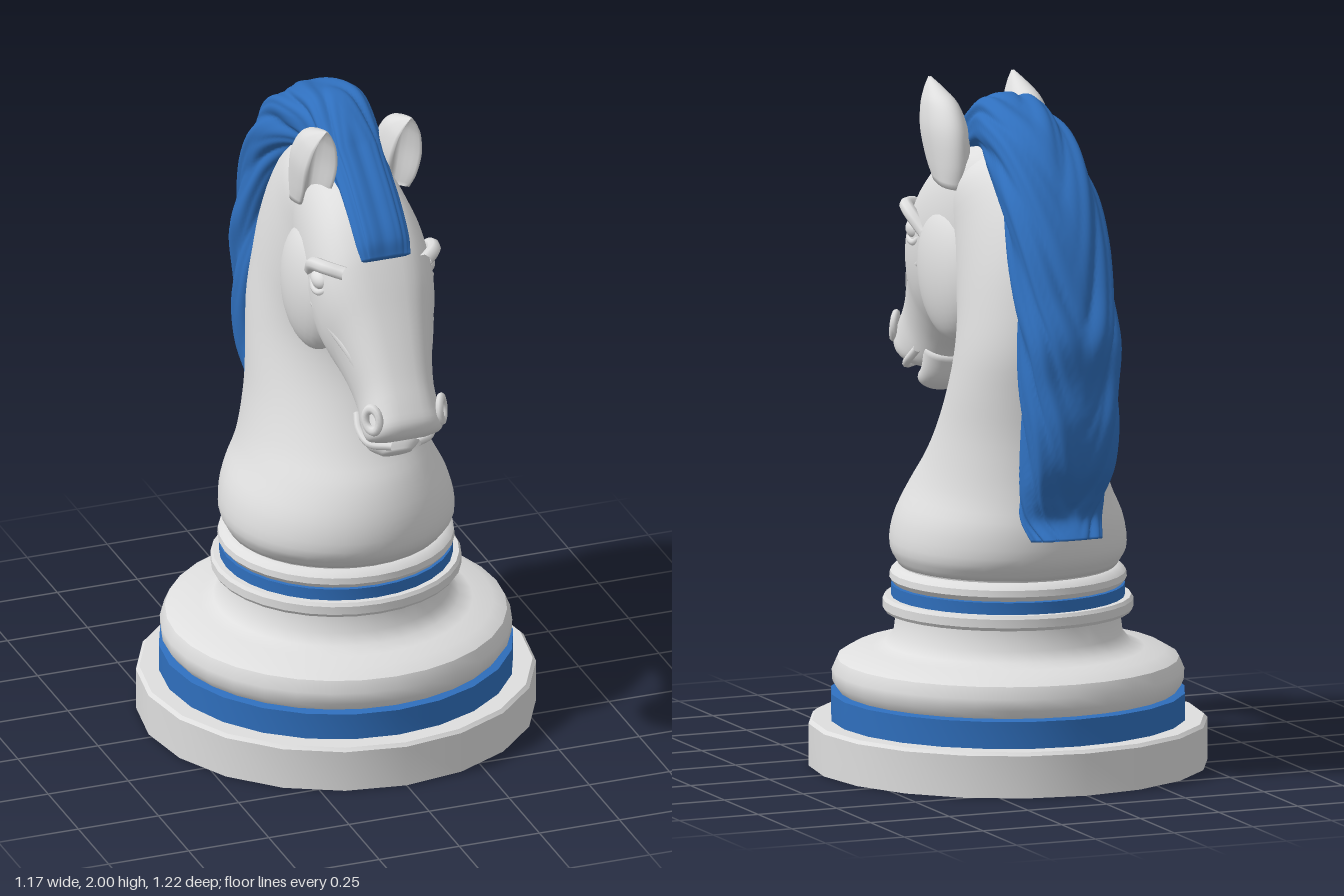
import * as THREE from 'three';
import { toCreasedNormals } from 'three/addons/utils/BufferGeometryUtils.js';

const ivory = new THREE.MeshStandardMaterial({ color: 0xdedede });
ivory.name = 'ivory white';
const blue = new THREE.MeshStandardMaterial({ color: 0x2f6fbd });
blue.name = 'royal blue';

const V = (x, y, z) => new THREE.Vector3(x, y, z);
const spow = (v, e) => Math.sign(v) * Math.abs(v) ** e;

// Skin over cross-sections. Row: [zA, yA, zB, yB, halfWidth], A and B being opposite edges.
// shape(angle, s) returns the section's [towards A, sideways] coordinates.
function loft(rows, { steps = 40, seg = 32, xc = 0, shape = (a) => [Math.cos(a), Math.sin(a)] } = {}) {
  const curve = (f) => new THREE.CatmullRomCurve3(rows.map(f));
  const A = curve((r) => V(0, r[1], r[0]));
  const B = curve((r) => V(0, r[3], r[2]));
  const W = curve((r, i) => V(r[4], i, 0));
  const pos = [], idx = [];
  for (let i = 0; i <= steps; i++) {
    const s = i / steps, a = A.getPoint(s), b = B.getPoint(s), w = W.getPoint(s).x;
    const mid = a.clone().add(b).multiplyScalar(0.5), h = a.clone().sub(b).multiplyScalar(0.5);
    for (let j = 0; j < seg; j++) {
      const [c, d] = shape((j / seg) * Math.PI * 2, s);
      pos.push(xc + w * d, mid.y + h.y * c, mid.z + h.z * c);
      if (i < steps) {
        const k = (j + 1) % seg, p = i * seg + j, q = i * seg + k;
        idx.push(p, q, q + seg, p, q + seg, p + seg);
      }
    }
  }
  // end caps
  const last = steps * seg, n = (steps + 1) * seg;
  for (const s of [0, 1]) {
    const m = A.getPoint(s).add(B.getPoint(s)).multiplyScalar(0.5);
    pos.push(xc, m.y, m.z);
  }
  for (let j = 0; j < seg; j++) {
    const k = (j + 1) % seg;
    idx.push(n, k, j, n + 1, last + j, last + k);
  }
  const g = new THREE.BufferGeometry();
  g.setAttribute('position', new THREE.Float32BufferAttribute(pos, 3));
  g.setIndex(idx);
  g.computeVertexNormals();
  return g;
}

export function createModel() {
  const model = new THREE.Group();
  const add = (name, geo, mat = ivory) => {
    const m = new THREE.Mesh(geo, mat);
    m.name = name;
    model.add(m);
    return m;
  };
  const turned = (name, profile, mat, sides = 32) => {
    const g = new THREE.LatheGeometry(profile.map(([r, y]) => new THREE.Vector2(r, y)), sides);
    add(name, toCreasedNormals(g, 0.6), mat).position.z = -0.02;
  };
  const ball = (name, x, y, z, rx, ry, rz) => {
    const m = add(name, new THREE.SphereGeometry(1, 28, 20));
    m.position.set(x, y, z);
    m.scale.set(rx, ry, rz);
    return m;
  };
  const tube = (name, pts, r) =>
    add(name, new THREE.TubeGeometry(new THREE.CatmullRomCurve3(pts.map((p) => V(...p))), 20, r, 8));

  // Turned base
  turned('plinth', [[0, 0], [0.585, 0], [0.585, 0.125], [0.575, 0.135], [0, 0.135]], ivory, 20);
  turned('lowerBand', [[0.48, 0.13], [0.52, 0.135], [0.52, 0.215], [0.48, 0.22]], blue, 24);
  turned('shoulder', [[0.47, 0.215], [0.495, 0.22], [0.513, 0.245], [0.515, 0.28], [0.5, 0.315], [0.46, 0.338],
    [0.4, 0.345], [0.36, 0.36], [0.335, 0.39], [0.327, 0.45], [0.36, 0.455], [0.367, 0.465], [0.367, 0.49],
    [0.36, 0.5], [0.3, 0.5]], ivory);
  turned('upperBand', [[0.3, 0.498], [0.342, 0.5], [0.342, 0.535], [0.3, 0.537]], blue);
  turned('collar', [[0.3, 0.535], [0.335, 0.538], [0.347, 0.553], [0.345, 0.572], [0.33, 0.587], [0.315, 0.59],
    [0.32, 0.61], [0.2, 0.61]], ivory);

  // Neck and chest
  add('neck', loft([
    [0.3, 0.595, -0.34, 0.595, 0.32], [0.348, 0.65, -0.385, 0.65, 0.343], [0.345, 0.74, -0.395, 0.74, 0.328],
    [0.3, 0.84, -0.385, 0.82, 0.285], [0.235, 0.915, -0.375, 0.9, 0.258], [0.165, 1.01, -0.37, 1.02, 0.235],
    [0.1, 1.12, -0.38, 1.15, 0.222], [0.07, 1.22, -0.395, 1.28, 0.21], [0.08, 1.3, -0.385, 1.42, 0.195],
    [0.12, 1.38, -0.35, 1.58, 0.18], [0.16, 1.48, -0.26, 1.73, 0.162], [0.18, 1.6, -0.13, 1.815, 0.145],
    [0.16, 1.7, 0, 1.83, 0.09],
  ], { seg: 40 }));

  // Head, boxy in section with a narrower jaw
  const headShape = (a) => {
    const c = Math.cos(a);
    return [spow(c, 0.8), spow(Math.sin(a), 0.75) * (1 - 0.18 * Math.max(0, c))];
  };
  add('head', loft([
    [-0.1, 1.45, -0.1, 1.79, 0.11], [-0.02, 1.36, 0, 1.835, 0.145], [0.04, 1.285, 0.14, 1.815, 0.165],
    [0.13, 1.255, 0.27, 1.755, 0.178], [0.2, 1.245, 0.36, 1.665, 0.18], [0.25, 1.225, 0.41, 1.585, 0.17],
    [0.29, 1.195, 0.46, 1.49, 0.145], [0.33, 1.165, 0.51, 1.395, 0.125], [0.365, 1.13, 0.555, 1.31, 0.113],
    [0.405, 1.1, 0.595, 1.24, 0.115], [0.45, 1.09, 0.615, 1.195, 0.118], [0.485, 1.09, 0.61, 1.16, 0.105],
    [0.52, 1.1, 0.59, 1.135, 0.06],
  ], { shape: headShape }));
  add('lowerLip', loft([
    [0.35, 1.14, 0.44, 1.19, 0.085], [0.385, 1.065, 0.45, 1.12, 0.085], [0.43, 1.032, 0.485, 1.085, 0.08],
    [0.465, 1.025, 0.5, 1.055, 0.045],
  ], { steps: 14, shape: headShape }));

  for (const side of [1, -1]) {
    const pre = side > 0 ? 'left' : 'right';
    const mir = (pts) => pts.map(([x, y, z]) => [x * side, y, z]);

    // Round cheek, eye and bony ridges
    ball(pre + 'Cheek', 0.118 * side, 1.445, 0.115, 0.085, 0.205, 0.172).rotation.x = 0.2;
    ball(pre + 'Eye', 0.162 * side, 1.545, 0.285, 0.028, 0.03, 0.042);
    tube(pre + 'Brow', mir([[0.125, 1.6, 0.385], [0.168, 1.607, 0.34], [0.182, 1.595, 0.28], [0.165, 1.545, 0.21]]), 0.021);
    tube(pre + 'LowerLid', mir([[0.15, 1.54, 0.34], [0.172, 1.512, 0.305], [0.175, 1.508, 0.265], [0.165, 1.535, 0.225]]), 0.011);
    tube(pre + 'CheekRidge', mir([[0.165, 1.45, 0.24], [0.155, 1.42, 0.33], [0.125, 1.365, 0.41], [0.1, 1.31, 0.46]]), 0.015);

    // Nostril rim and mouth corner
    const nostril = add(pre + 'Nostril', new THREE.TorusGeometry(0.026, 0.012, 8, 20));
    nostril.position.set(0.108 * side, 1.205, 0.567);
    nostril.rotation.set(-0.2, side * 1.0, 0);
    nostril.scale.y = 1.3;
    tube(pre + 'Lip', mir([[0.1, 1.16, 0.42], [0.108, 1.125, 0.46], [0.095, 1.1, 0.51], [0.04, 1.1, 0.55]]), 0.012);

    // Ear, a leaf hollowed at the front
    add(pre + 'Ear', loft([
      [0.14, 1.72, 0.02, 1.7, 0.045], [0.185, 1.78, 0.015, 1.77, 0.052], [0.22, 1.86, 0.035, 1.87, 0.056],
      [0.24, 1.93, 0.09, 1.94, 0.043], [0.25, 1.975, 0.17, 1.975, 0.022], [0.255, 2, 0.245, 2, 0.004],
    ], {
      steps: 20, xc: 0.132 * side,
      shape: (a) => {
        const c = Math.cos(a);
        return [c > 0 ? 2.5 * (c - c ** 3) : c, Math.sin(a)];
      },
    }));
  }

  // Forelock and mane, furrowed into slanting locks
  add('mane', loft([
    [0.4, 1.64, 0.385, 1.625, 0.072], [0.385, 1.69, 0.33, 1.65, 0.078], [0.31, 1.775, 0.26, 1.71, 0.08],
    [0.2, 1.87, 0.16, 1.77, 0.08], [0.11, 1.935, 0.07, 1.8, 0.088], [0, 1.985, -0.02, 1.8, 0.1],
    [-0.14, 1.96, -0.11, 1.77, 0.12], [-0.27, 1.9, -0.2, 1.7, 0.13], [-0.39, 1.79, -0.27, 1.61, 0.138],
    [-0.485, 1.64, -0.31, 1.5, 0.14], [-0.55, 1.48, -0.34, 1.38, 0.14], [-0.595, 1.35, -0.355, 1.27, 0.14],
    [-0.59, 1.22, -0.36, 1.17, 0.137], [-0.6, 1.09, -0.355, 1.05, 0.132], [-0.57, 0.96, -0.34, 0.93, 0.127],
    [-0.51, 0.86, -0.325, 0.85, 0.12], [-0.485, 0.8, -0.34, 0.785, 0.113], [-0.53, 0.745, -0.39, 0.725, 0.1],
  ], {
    steps: 150, seg: 96,
    shape: (a, s) => {
      const t = Math.min(a, Math.PI * 2 - a);
      const flow = 22 * Math.max(0, s - 0.2);
      const lock = Math.abs(Math.sin(3.5 * t + flow)) + 0.35 * Math.abs(Math.sin(8 * t + 1.6 * flow));
      const r = 0.9 + 0.13 * lock;
      return [spow(Math.cos(a), 0.75) * r, spow(Math.sin(a), 0.75) * r];
    },
  }), blue);

  return model;
}
